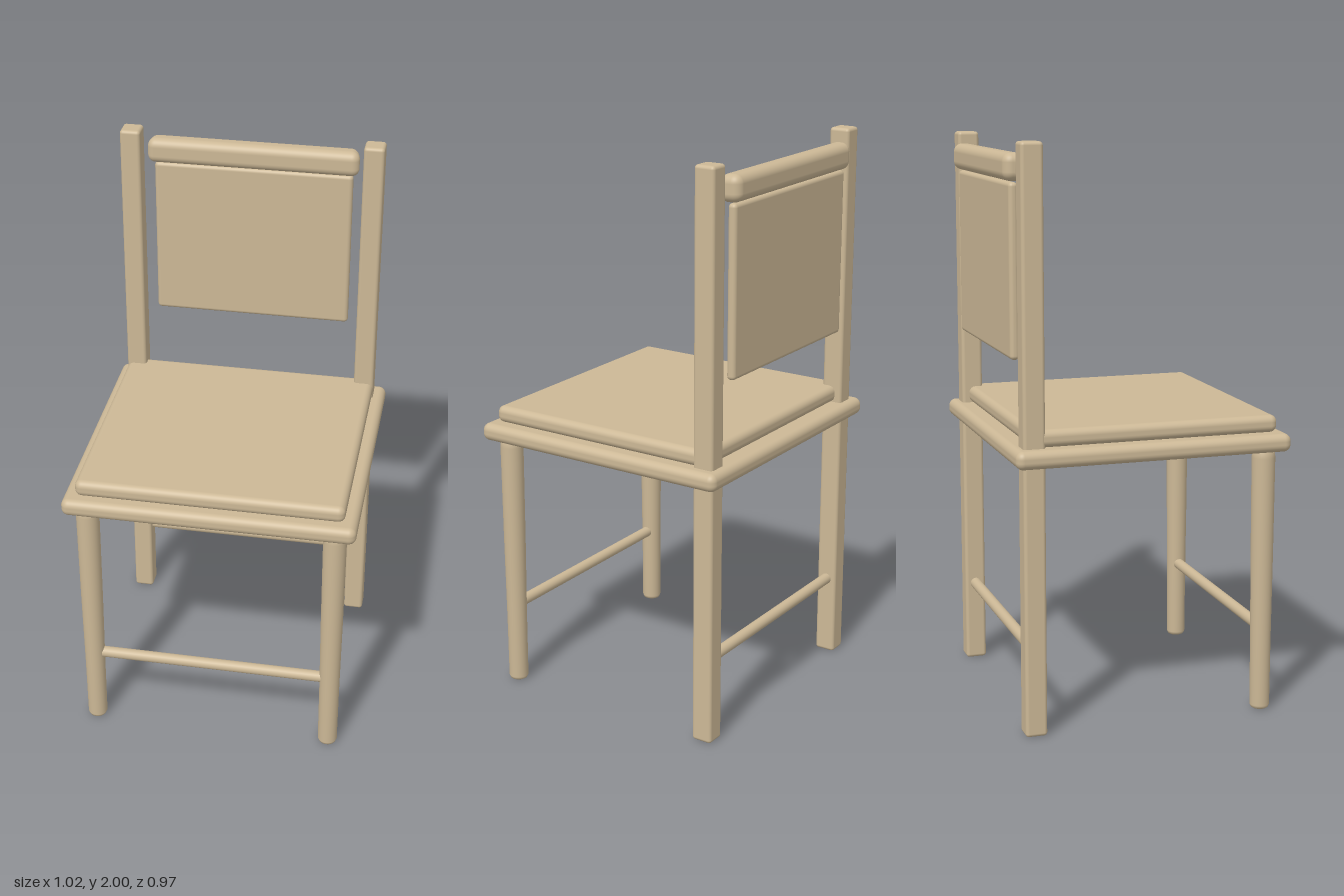
import * as THREE from 'three';
import { RoundedBoxGeometry } from 'three/addons/geometries/RoundedBoxGeometry.js';

export function createModel() {
  const chair = new THREE.Group();
  chair.name = 'chair';
  const wood = new THREE.MeshStandardMaterial({ color: 0xccb896 });
  wood.name = 'pale wood';

  const add = (name, geometry, x = 0, y = 0, z = 0) => {
    const mesh = new THREE.Mesh(geometry, wood);
    mesh.name = name;
    mesh.position.set(x, y, z);
    chair.add(mesh);
    return mesh;
  };

  // Rounded block given by its limits on each axis
  const block = (name, [x0, x1], [y0, y1], [z0, z1], radius) =>
    add(name, new RoundedBoxGeometry(x1 - x0, y1 - y0, z1 - z0, 5, radius),
      (x0 + x1) / 2, (y0 + y1) / 2, (z0 + z1) / 2);

  // Seat board and cushion
  block('seat', [-0.51, 0.51], [0.937, 1.0], [-0.487, 0.487], 0.026);
  block('cushion', [-0.467, 0.467], [1.0, 1.06], [-0.43, 0.45], 0.024);

  // Backrest panel and top rail, set between the posts
  block('backPanel', [-0.357, 0.357], [1.28, 1.865], [-0.466, -0.434], 0.014);
  const rail = block('topRail', [-0.383, 0.383], [1.868, 1.96], [-0.485, -0.41], 0.03);
  // Rail ends slant in toward the back
  const p = rail.geometry.attributes.position;
  for (let i = 0; i < p.count; i++) {
    p.setX(i, p.getX(i) * (1 - 0.035 * (0.0375 - p.getZ(i)) / 0.075));
  }

  // Tapered round front leg with softened ends
  const legProfile = [
    [0, 0], [0.024, 0], [0.031, 0.004], [0.035, 0.014], [0.036, 0.25],
    [0.039, 0.55], [0.041, 0.91], [0.039, 0.93], [0.034, 0.938], [0, 0.94],
  ].map(([r, y]) => new THREE.Vector2(r, y));
  const legGeometry = new THREE.LatheGeometry(legProfile, 32);

  for (const [side, s] of [['left', 1], ['right', -1]]) {
    add(side + 'FrontLeg', legGeometry, s * 0.433, 0, 0.411);
    // Square post runs from the floor to the top of the back
    const post = new RoundedBoxGeometry(0.073, 2, 0.076, 4, 0.012);
    add(side + 'BackPost', post, s * 0.432, 1, -0.417);
  }

  // Round rungs across the front and the back
  for (const [name, z] of [['frontRung', 0.411], ['backRung', -0.417]]) {
    const rung = add(name, new THREE.CylinderGeometry(0.02, 0.02, 0.82, 24), 0, 0.297, z);
    rung.rotation.z = Math.PI / 2;
  }
  return chair;
}
